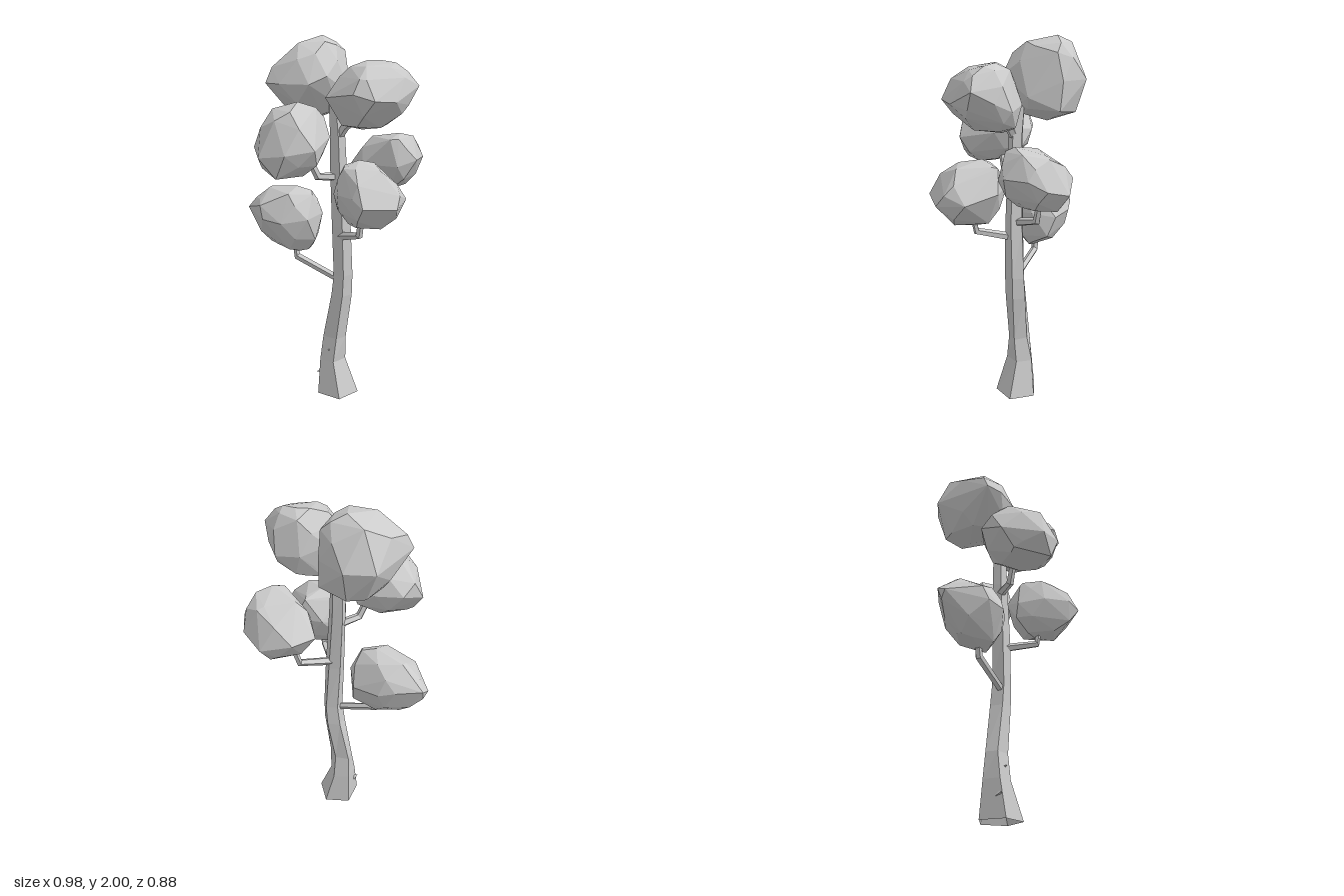
import * as THREE from 'three';
import { ConvexGeometry } from 'three/addons/geometries/ConvexGeometry.js';

const bark = new THREE.MeshStandardMaterial({ color: 0xcccccc, flatShading: true, side: THREE.DoubleSide });
const leaves = new THREE.MeshStandardMaterial({ color: 0xcccccc, flatShading: true });
const V = (x, y, z) => new THREE.Vector3(x, y, z);
const UP = V(0, 1, 0);

// Open faceted tube through rings of [x, y, z, radiusX, radiusZ]; level rings stay horizontal
function limb(name, rings, sides, level = false) {
  const centres = rings.map(([x, y, z]) => V(x, y, z));
  const pos = [], index = [];
  rings.forEach(([, , , rx, rz = rx], i) => {
    const before = centres[Math.max(i - 1, 0)], after = centres[Math.min(i + 1, rings.length - 1)];
    const q = new THREE.Quaternion();
    if (!level) q.setFromUnitVectors(UP, after.clone().sub(before).normalize());
    for (let s = 0; s < sides; s++) {
      const a = 0.61 + (s / sides) * Math.PI * 2;
      pos.push(...V(Math.sin(a) * rx, 0, Math.cos(a) * rz).applyQuaternion(q).add(centres[i]).toArray());
    }
  });
  for (let r = 0; r < (rings.length - 1) * sides; r += sides) {
    for (let s = 0; s < sides; s++) {
      const n = (s + 1) % sides;
      index.push(r + s, r + n, r + sides + n, r + s, r + sides + n, r + sides + s);
    }
  }
  const g = new THREE.BufferGeometry();
  g.setAttribute('position', new THREE.Float32BufferAttribute(pos, 3));
  g.setIndex(index);
  const flat = g.toNonIndexed();
  flat.computeVertexNormals();
  const mesh = new THREE.Mesh(flat, bark);
  mesh.name = name;
  return mesh;
}

// Foliage clump: a rim of [x, y, z] points, domed to a top and a bottom point, plus jutting corners
function clump(name, top, bottom, rim, corners) {
  const points = [...rim, ...corners].map(p => V(...p));
  for (const pole of [V(...top), V(...bottom)]) {
    points.push(pole);
    rim.forEach((p, i) => {
      const a = V(...p), b = V(...rim[(i + 1) % rim.length]);
      // staggered levels give irregular facets
      const mid = a.clone().lerp(b, 0.5);
      const [base, out, rise] = i % 2 ? [mid, 0.88, 0.5] : [a, 0.56, 0.84];
      points.push(V(
        pole.x + (base.x - pole.x) * out,
        base.y + (pole.y - base.y) * rise,
        pole.z + (base.z - pole.z) * out));
    });
  }
  const mesh = new THREE.Mesh(new ConvexGeometry(points), leaves);
  mesh.name = name;
  return mesh;
}

export function createModel() {
  const tree = new THREE.Group();
  tree.name = 'tree';

  // Trunk: five-sided, flared foot, gentle bend, slim top
  tree.add(limb('trunk', [
    [0.055, 0, -0.01, 0.121, 0.121],
    [0.022, 0.2, -0.01, 0.074, 0.08],
    [0.03, 0.34, -0.009, 0.073, 0.053],
    [0.072, 0.6, -0.02, 0.06, 0.06],
    [0.082, 0.72, -0.02, 0.053, 0.059],
    [0.073, 1.0, -0.01, 0.055, 0.05],
    [0.057, 1.32, -0.004, 0.049, 0.041],
    [0.053, 1.48, -0.003, 0.043, 0.039],
    [0.035, 1.66, -0.01, 0.036, 0.036],
  ], 5, true));

  // Branches: an outward run and an upturned tip
  const branches = {
    lowerRightBranch: [[0.07, 0.69, 0.0, 0.02], [-0.18, 0.795, 0.04, 0.021], [-0.2, 0.92, 0.04, 0.016]],
    frontLeftBranch: [[0.07, 0.94, 0.0, 0.024], [0.25, 1.0, 0.11, 0.02], [0.27, 1.12, 0.12, 0.016]],
    backLeftBranch: [[0.07, 1.03, -0.02, 0.024], [0.15, 1.09, -0.21, 0.02], [0.17, 1.24, -0.25, 0.016]],
    frontBranch: [[0.05, 1.27, 0.0, 0.024], [0.0, 1.285, 0.11, 0.022], [-0.03, 1.4, 0.16, 0.018]],
    upperLeftBranch: [[0.05, 1.47, 0.0, 0.024], [0.1, 1.54, 0.0, 0.024], [0.2, 1.62, 0.0, 0.02]],
  };
  for (const [name, rings] of Object.entries(branches)) tree.add(limb(name, rings, 5));

  // Broken twig stubs, almost flush with the lower trunk
  tree.add(limb('twigStub', [[0.03, 0.265, 0.02, 0.02], [0.032, 0.27, 0.055, 0.001]], 3));
  tree.add(limb('twigStub', [[-0.02, 0.12, 0.04, 0.02], [-0.035, 0.125, 0.07, 0.001]], 3));

  // Foliage clumps
  tree.add(
    clump('topFoliage', [-0.12, 2.0, -0.14], [-0.12, 1.56, -0.08], [
      [-0.315, 1.77, -0.17], [-0.2, 1.78, -0.27], [-0.03, 1.78, -0.24], [0.08, 1.7, -0.1],
      [0.045, 1.8, 0.09], [-0.02, 1.76, 0.16], [-0.18, 1.76, 0.19], [-0.28, 1.76, 0.17],
    ], [
      [-0.25, 1.93, -0.1], [0.0, 1.95, -0.08], [-0.02, 1.92, -0.21], [-0.03, 1.91, 0.08], [-0.2, 1.9, 0.08],
      [-0.265, 1.84, 0.13], [-0.18, 1.61, -0.22], [-0.22, 1.59, 0.02], [-0.02, 1.63, -0.23], [0.05, 1.64, -0.08],
    ]),
    clump('upperLeftFoliage', [0.28, 1.88, -0.05], [0.19, 1.53, -0.02], [
      [0.07, 1.7, 0.15], [0.1, 1.72, -0.02], [0.18, 1.68, -0.14], [0.31, 1.66, -0.18],
      [0.39, 1.7, -0.14], [0.48, 1.76, -0.07], [0.44, 1.69, 0.1], [0.38, 1.7, 0.21], [0.28, 1.73, 0.245],
    ], [
      [0.22, 1.88, -0.01], [0.36, 1.87, -0.05], [0.11, 1.8, 0.08], [0.29, 1.8, 0.2],
      [0.13, 1.545, -0.03], [0.22, 1.57, -0.13], [0.43, 1.83, -0.04], [0.45, 1.67, -0.02],
    ]),
    clump('frontFoliage', [-0.05, 1.68, 0.22], [-0.08, 1.31, 0.26], [
      [-0.29, 1.44, 0.27], [-0.27, 1.5, 0.12], [-0.15, 1.5, 0.04], [0.0, 1.52, 0.03],
      [0.08, 1.5, 0.12], [0.12, 1.46, 0.33], [0.01, 1.44, 0.43], [-0.14, 1.42, 0.44],
    ], [
      [-0.05, 1.32, 0.42], [-0.22, 1.34, 0.3], [-0.08, 1.6, 0.38], [-0.2, 1.63, 0.2],
      [0.05, 1.6, 0.2], [0.02, 1.32, 0.28], [0.1, 1.38, 0.28], [-0.05, 1.42, 0.03], [-0.28, 1.55, 0.2],
    ]),
    clump('backLeftFoliage', [0.32, 1.5, -0.2], [0.2, 1.17, -0.28], [
      [0.02, 1.31, -0.22], [0.05, 1.32, -0.36], [0.2, 1.27, -0.44], [0.34, 1.31, -0.41],
      [0.4, 1.36, -0.34], [0.42, 1.36, -0.21], [0.35, 1.33, -0.12], [0.15, 1.33, -0.11],
    ], [
      [0.2, 1.18, -0.37], [0.2, 1.18, -0.19], [0.27, 1.45, -0.37], [0.3, 1.47, -0.13], [0.08, 1.37, -0.22],
    ]),
    clump('frontLeftFoliage', [0.23, 1.39, 0.08], [0.26, 1.04, 0.1], [
      [0.09, 1.2, 0.1], [0.15, 1.25, -0.02], [0.3, 1.24, -0.08], [0.46, 1.2, 0.0],
      [0.49, 1.18, 0.17], [0.38, 1.2, 0.32], [0.31, 1.24, 0.3], [0.18, 1.23, 0.22],
    ], [
      [0.14, 1.34, 0.08], [0.2, 1.36, 0.19], [0.18, 1.05, 0.1], [0.36, 1.07, 0.12],
      [0.48, 1.24, 0.12], [0.25, 1.36, -0.04], [0.1, 1.12, 0.08], [0.3, 1.08, 0.2],
    ]),
    clump('lowerRightFoliage', [-0.18, 1.2, 0.03], [-0.16, 0.83, 0.04], [
      [-0.49, 1.07, 0.02], [-0.38, 1.06, -0.07], [-0.3, 1.03, -0.11], [-0.15, 1.02, -0.125],
      [-0.055, 1.05, -0.03], [-0.06, 1.04, 0.12], [-0.18, 1.02, 0.2], [-0.3, 1.03, 0.2], [-0.49, 1.05, 0.07],
    ], [
      [-0.32, 1.175, 0.05], [-0.44, 1.11, 0.06], [-0.33, 1.1, 0.18], [-0.48, 1.01, 0.04], [-0.42, 0.94, 0.01],
      [-0.28, 0.86, 0.08], [-0.11, 0.845, 0.03], [-0.06, 0.91, 0.04], [-0.085, 1.16, 0.03],
      [-0.12, 0.91, -0.09], [-0.22, 0.93, 0.16], [-0.2, 1.14, 0.14],
    ]),
  );
  return tree;
}
